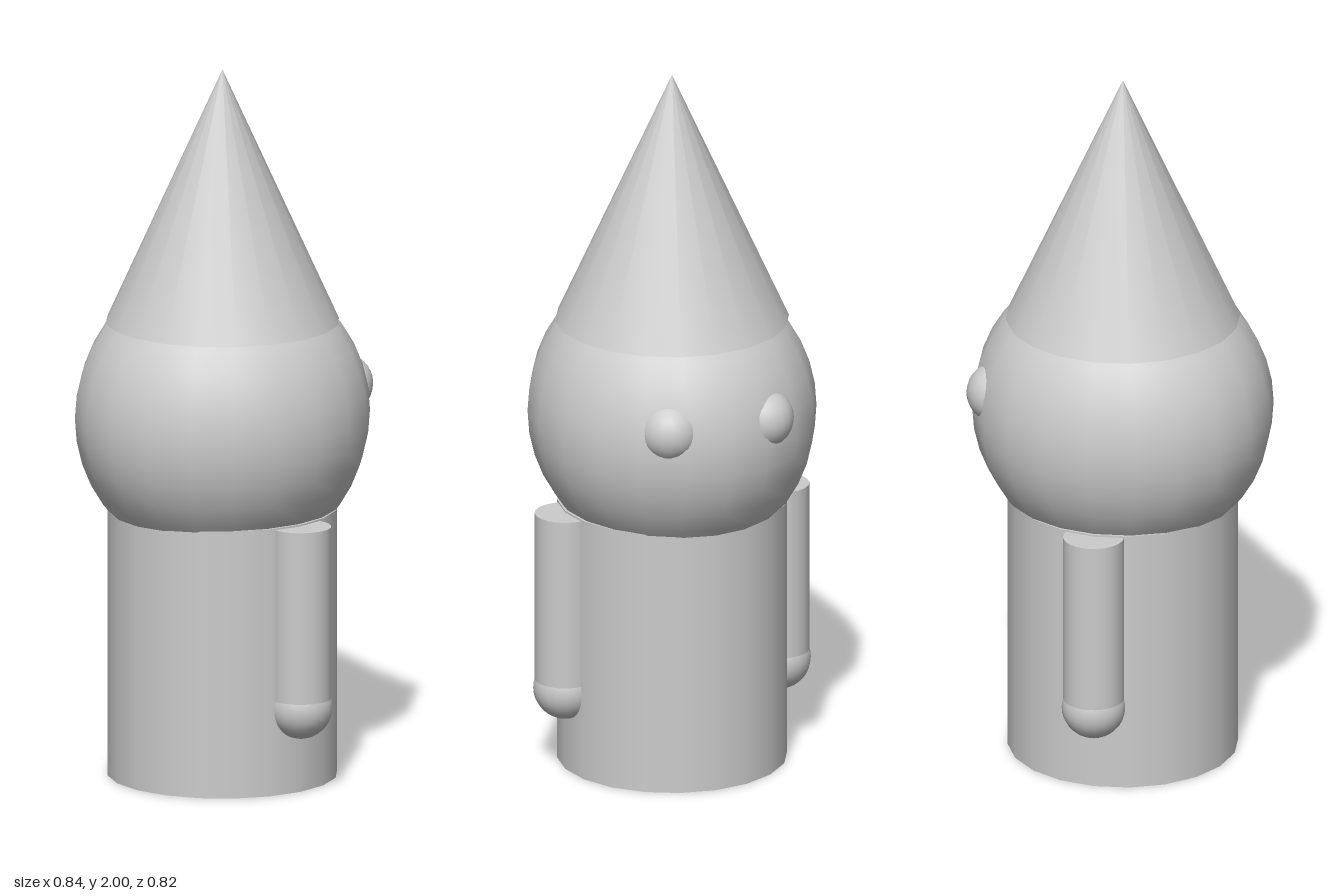
import * as THREE from 'three';

const material = new THREE.MeshStandardMaterial({ color: 0xcccccc });

function add(parent, name, geometry, x, y, z) {
  const mesh = new THREE.Mesh(geometry, material);
  mesh.name = name;
  mesh.position.set(x, y, z);
  parent.add(mesh);
  return mesh;
}

export function createModel() {
  const model = new THREE.Group();
  model.name = 'hattedFigure';

  // Body, slightly squashed round head and pointed hat
  add(model, 'body', new THREE.CylinderGeometry(0.32, 0.32, 0.76, 20), 0, 0.38, 0);
  const head = add(model, 'head', new THREE.SphereGeometry(0.42, 20, 20), 0, 1.02, 0);
  head.scale.set(1, 1, 0.95);
  add(model, 'hat', new THREE.ConeGeometry(0.325, 0.715, 20), 0, 1.6425, 0);

  // The face looks along +x, so the paired parts mirror across z
  for (const side of [-1, 1]) {
    const label = side > 0 ? 'A' : 'B';
    add(model, 'eye' + label, new THREE.SphereGeometry(0.085, 20, 16), 0.324, 1.08, side * 0.14);

    // Half-sunken arm ending in a round hand
    const arm = new THREE.Group();
    arm.name = 'arm' + label;
    arm.position.z = side * 0.32;
    add(arm, 'sleeve', new THREE.CylinderGeometry(0.085, 0.085, 0.515, 20), 0, 0.4975, 0);
    add(arm, 'hand', new THREE.SphereGeometry(0.089, 20, 16), 0, 0.242, 0);
    model.add(arm);
  }
  return model;
}
